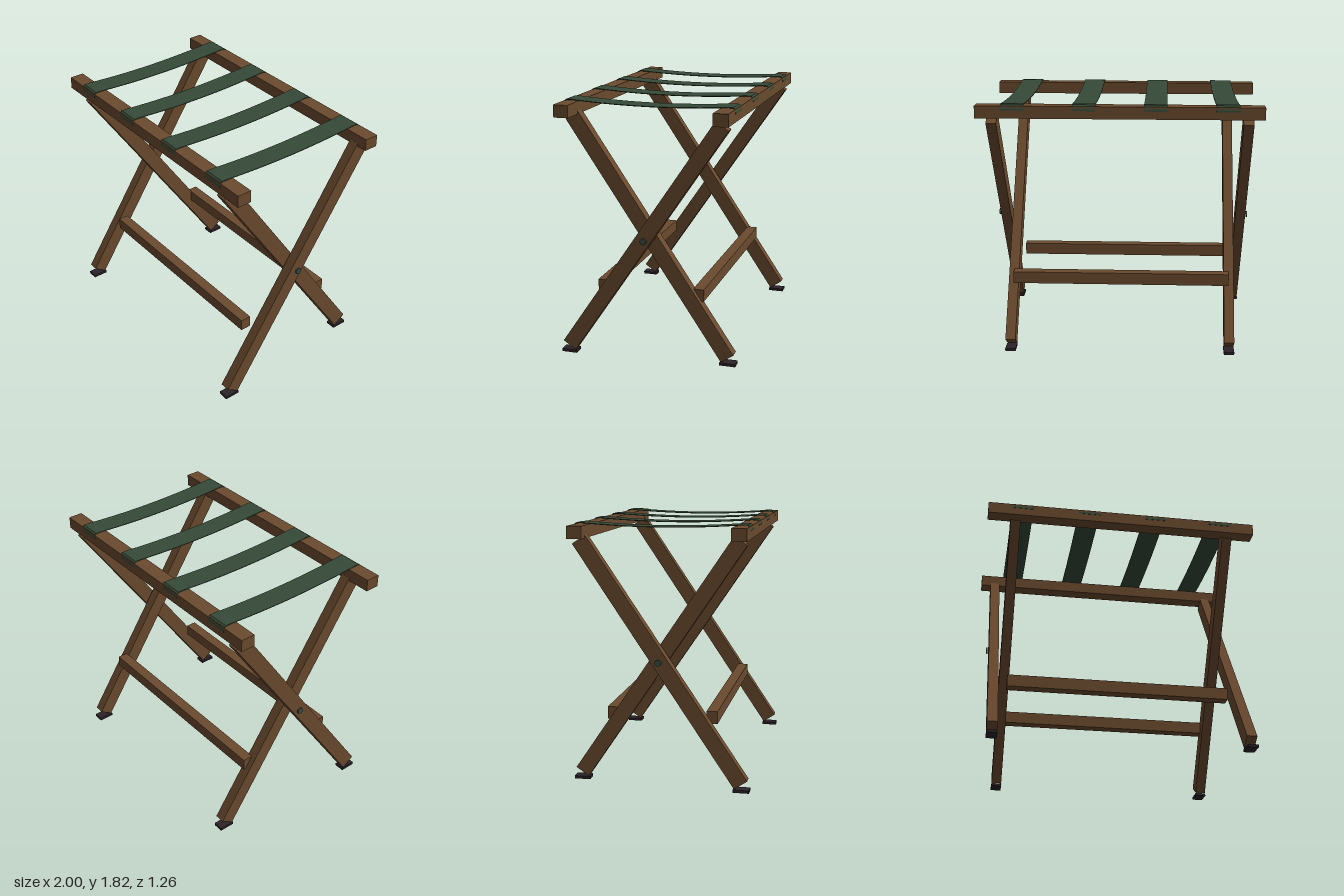
import * as THREE from 'three';

export function createModel() {
  const group = new THREE.Group();
  const material = (name, color) => {
    const m = new THREE.MeshStandardMaterial({ color });
    m.name = name;
    return m;
  };
  const wood = material('brown wood', 0x6a4a2e);
  const webbing = material('green webbing', 0x364a38);
  const rubber = material('dark rubber', 0x2b2228);
  const metal = material('pivot metal', 0x3b4c44);

  const add = (name, geometry, mat, x, y, z) => {
    const mesh = new THREE.Mesh(geometry, mat);
    mesh.name = name;
    mesh.position.set(x, y, z);
    group.add(mesh);
    return mesh;
  };

  // Rails along the top and stretchers between the legs
  for (const s of [1, -1]) {
    const end = s > 0 ? 'front' : 'back';
    add(end + 'Rail', new THREE.BoxGeometry(2, 0.087, 0.104), wood, 0, 1.762, s * 0.553);
    add(end + 'Stretcher', new THREE.BoxGeometry(1.59, 0.087, 0.078), wood, 0, 0.486, s * 0.351);
  }

  // Crossed legs: the outer pair stands at the front, the inner pair at the back
  const foot = { z: 0.571, y: 0.055 }, head = { z: -0.544, y: 1.711 };
  const dz = head.z - foot.z, dy = head.y - foot.y;
  const legGeometry = new THREE.BoxGeometry(0.073, Math.hypot(dz, dy), 0.108);
  const footGeometry = new THREE.BoxGeometry(0.075, 0.02, 0.114);
  const pivotGeometry = new THREE.CylinderGeometry(0.023, 0.023, 0.011, 16).rotateZ(Math.PI / 2);
  for (const side of [1, -1]) {
    const sideName = side > 0 ? 'left' : 'right';
    for (const [pair, x, s] of [['Outer', 0.89, 1], ['Inner', 0.797, -1]]) {
      const leg = add(sideName + pair + 'Leg', legGeometry, wood,
        side * x, (foot.y + head.y) / 2, s * (foot.z + head.z) / 2);
      leg.rotation.x = s * Math.atan2(dz, dy);
      add(sideName + pair + 'FootPad', footGeometry, rubber, side * x, 0.01, s * 0.573);
    }
    add(sideName + 'Pivot', pivotGeometry, metal, side * 0.939, 0.885, 0);
  }

  // Sagging straps, folded over the outer edges of the rails
  const half = [[0.607, 1.774], [0.607, 1.784], [0.602, 1.806], [0.59, 1.816], [0.55, 1.817], [0.5, 1.813]];
  const path = [...half];
  for (let i = 1; i < 16; i++) {
    const z = 0.5 - i / 16;
    path.push([z, 1.795 + 0.018 * (z / 0.5) ** 2]);
  }
  path.push(...half.map(([z, y]) => [-z, y]).reverse());
  const thickness = 0.005;
  const inner = path.map(([z, y]) => {
    const wrap = Math.abs(z) > 0.59 ? Math.sign(z) * thickness : 0;
    return [z - wrap, y - (wrap && y < 1.8 ? 0 : thickness)];
  });
  const outline = [...path, ...inner.reverse()].map(([z, y]) => new THREE.Vector2(z, y));
  const strapGeometry = new THREE.ExtrudeGeometry(new THREE.Shape(outline), { depth: 0.16, bevelEnabled: false })
    .translate(0, 0, -0.08).rotateY(-Math.PI / 2);
  [-0.745, -0.25, 0.245, 0.74].forEach((x, i) => add('strap' + (i + 1), strapGeometry, webbing, x, 0, 0));

  return group;
}
